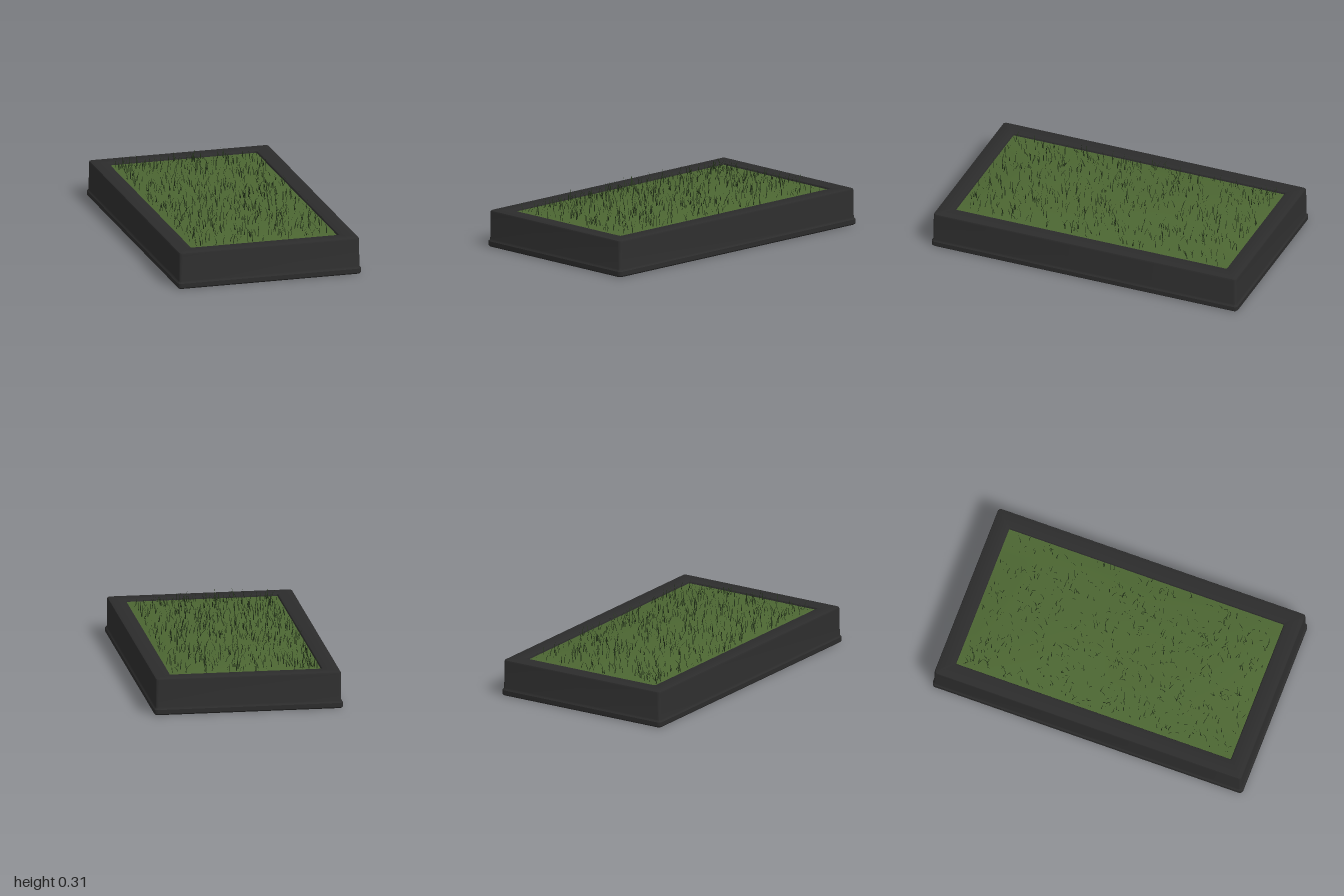
import * as THREE from 'three';
import { toCreasedNormals } from 'three/addons/utils/BufferGeometryUtils.js';

const HX = 0.577, HZ = 1.0;            // outer half sizes at the foot
const IX = 0.462, IZ = 0.885;          // half sizes of the turf

const frameMat = new THREE.MeshStandardMaterial({ color: 0x2c2c2c });
frameMat.name = 'charcoal frame';
const turfMat = new THREE.MeshStandardMaterial({ color: 0x4c6632, side: THREE.DoubleSide });
turfMat.name = 'turf green';
const bladeMat = new THREE.MeshStandardMaterial({ color: 0x24331a, side: THREE.DoubleSide });
bladeMat.name = 'dark grass green';

function build(positions, index) {
  const g = new THREE.BufferGeometry();
  g.setAttribute('position', new THREE.Float32BufferAttribute(positions, 3));
  g.setIndex(index);
  g.computeVertexNormals();
  return g;
}

// small seeded generator
function seeded(seed) {
  return () => {
    seed = (seed * 1664525 + 1013904223) >>> 0;
    return seed / 4294967296;
  };
}

// closed profile swept round a rounded rectangle: [inset, y, corner radius]
function frameGeometry() {
  const profile = [
    [0.008, 0, 0.016], [0, 0.008, 0.022], [0, 0.034, 0.022], [0.008, 0.042, 0.016],
    [0.0095, 0.046, 0.016], [0.0095, 0.213, 0.02], [0.013, 0.222, 0.018], [0.02, 0.225, 0.014],
    [0.105, 0.225, 0.012], [0.111, 0.222, 0.009], [0.115, 0.214, 0.006], [0.115, 0, 0.006],
  ];
  const corners = [[1, 1], [-1, 1], [-1, -1], [1, -1]];
  const steps = 5, ring = corners.length * (steps + 1);
  const pos = [], index = [];
  for (const [inset, y, r] of profile) {
    corners.forEach(([sx, sz], c) => {
      for (let s = 0; s <= steps; s++) {
        const a = (c + s / steps) * Math.PI / 2;
        pos.push(sx * (HX - inset - r) + r * Math.cos(a), y, sz * (HZ - inset - r) + r * Math.sin(a));
      }
    });
  }
  for (let p = 0; p < profile.length; p++) {
    const q = (p + 1) % profile.length;
    for (let i = 0; i < ring; i++) {
      const j = (i + 1) % ring;
      const a = p * ring + i, b = p * ring + j, c = q * ring + j, d = q * ring + i;
      index.push(a, c, b, a, d, c);
    }
  }
  return toCreasedNormals(build(pos, index), 0.6);
}

// gently domed ground height
function turfHeight(x, z) {
  const u = Math.min(1, Math.abs(x) / IX), v = Math.min(1, Math.abs(z) / IZ);
  const dome = (1 - u ** 2) * (1 - v ** 4);
  return 0.212 + 0.034 * dome + 0.003 * dome * Math.sin(x * 9) * Math.cos(z * 8);
}

function turfGeometry() {
  const g = new THREE.PlaneGeometry(2 * IX, 2 * IZ, 24, 40).rotateX(-Math.PI / 2);
  const p = g.attributes.position;
  for (let i = 0; i < p.count; i++) p.setY(i, turfHeight(p.getX(i), p.getZ(i)));
  g.computeVertexNormals();
  return g;
}

// tapered ribbons that bend over in a random direction
function grassGeometry(count) {
  const rnd = seeded(17), pos = [], index = [];
  for (let n = 0; n < count; n++) {
    const x = (rnd() * 2 - 1) * 0.445, z = (rnd() * 2 - 1) * 0.86;
    const y = turfHeight(x, z) - 0.004;
    const height = 0.035 + 0.038 * rnd(), lean = 0.006 + 0.034 * rnd() ** 1.5;
    const a = rnd() * Math.PI * 2, t = a + Math.PI / 2 + (rnd() - 0.5) * 1.2;
    const start = pos.length / 3;
    for (const [k, w] of [[0, 0.0028], [0.5, 0.0022], [1, 0]]) {
      const bend = lean * k ** 1.8;
      const cx = x + Math.cos(a) * bend, cz = z + Math.sin(a) * bend, cy = y + height * k;
      const wx = Math.cos(t) * w, wz = Math.sin(t) * w;
      pos.push(cx - wx, cy, cz - wz);
      if (w > 0) pos.push(cx + wx, cy, cz + wz);
    }
    index.push(start, start + 1, start + 3, start, start + 3, start + 2, start + 2, start + 3, start + 4);
  }
  return build(pos, index);
}

export function createModel() {
  const model = new THREE.Group();
  model.name = 'grassTray';
  const add = (name, geometry, material) => {
    const mesh = new THREE.Mesh(geometry, material);
    mesh.name = name;
    model.add(mesh);
  };
  add('frame', frameGeometry(), frameMat);
  add('turf', turfGeometry(), turfMat);
  add('grassBlades', grassGeometry(800), bladeMat);
  return model;
}
